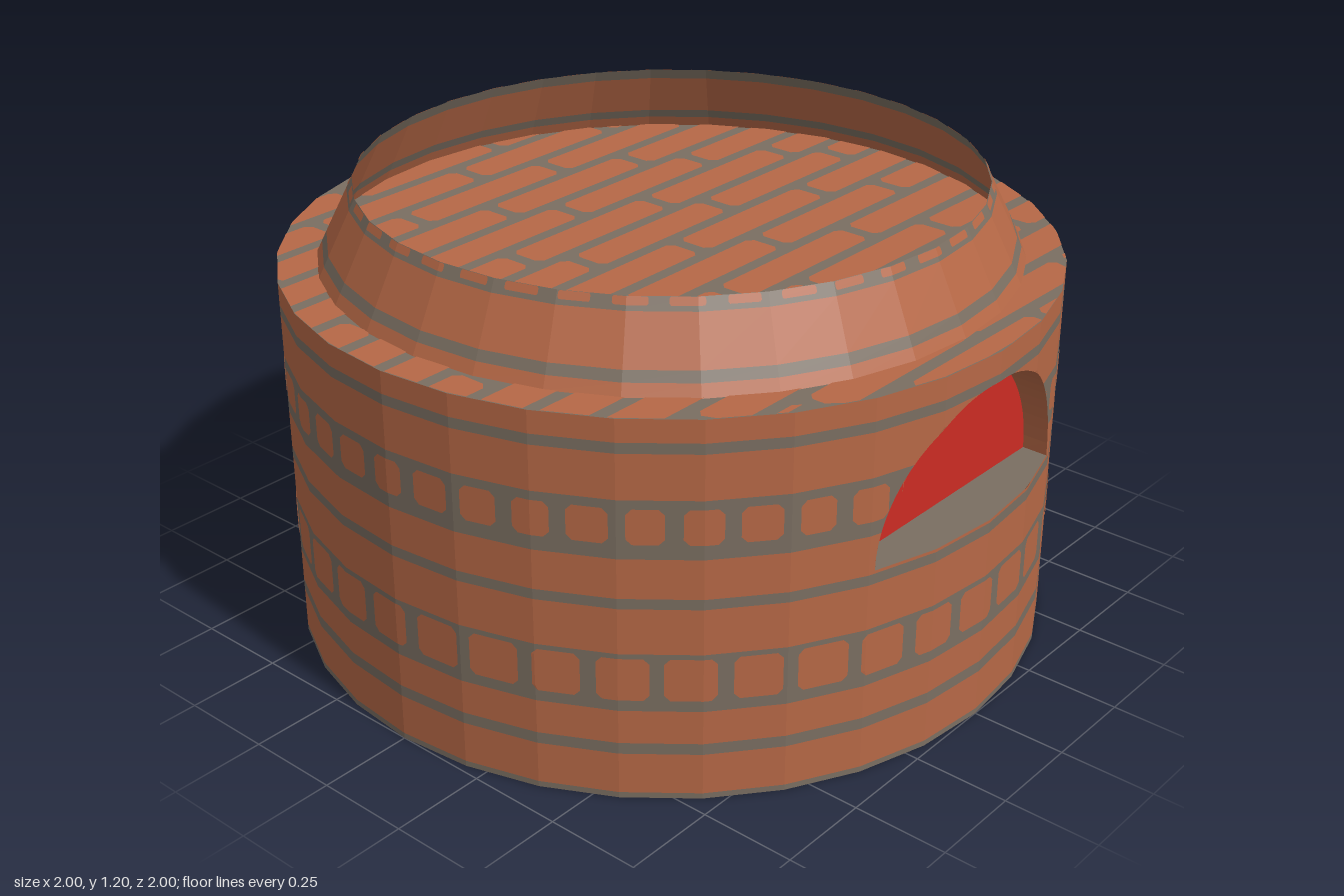
import * as THREE from 'three';

const SIDES = 32, STEP = (Math.PI * 2) / SIDES, TAU = Math.PI * 2;
const ARCH_Y = 0.555, ARCH_R = 0.367, RECESS_Z = 0.86;

const material = (name, color, side = THREE.DoubleSide) => {
  const m = new THREE.MeshStandardMaterial({ color, side });
  m.name = name;
  return m;
};

// Point on a 32-sided prism at an angle measured from the front
function onWall(a, r, y) {
  const i = Math.floor(a / STEP + 1e-9), t = a / STEP - i;
  const a0 = i * STEP, a1 = a0 + STEP;
  const mix = (f) => r * (f(a0) * (1 - t) + f(a1) * t);
  return [mix(Math.sin), y, mix(Math.cos)];
}

// Half angle of the arched opening at a height
function archAngle(y) {
  const h = (y - ARCH_Y) / ARCH_R;
  return Math.asin(ARCH_R * Math.sqrt(Math.max(0, 1 - h * h)));
}
const archLevels = Array.from({ length: 19 }, (_, j) => ARCH_Y + ARCH_R * Math.sin((j / 18) * Math.PI / 2));

const quad = (out, a, b, c, d) => out.push(...a, ...b, ...c, ...a, ...c, ...d);

// Faceted sheet around the axis; range(y) gives its start and end angle
function addSheet(out, y0, y1, radius, range, extra = []) {
  const levels = [y0, ...[...archLevels, ...extra].filter((y) => y > y0 + 1e-6 && y < y1 - 1e-6), y1].sort((a, b) => a - b);
  for (let k = 0; k < levels.length - 1; k++) {
    const ya = levels[k], yb = levels[k + 1], mid = (ya + yb) / 2;
    const cut = mid > ARCH_Y && mid < ARCH_Y + ARCH_R;
    const angle = (i, y) => {
      let [lo, hi] = range(y);
      if (cut) {
        lo = Math.max(lo, archAngle(y));
        hi = Math.min(hi, TAU - archAngle(y));
      }
      return lo >= hi ? lo : Math.min(hi, Math.max(lo, i * STEP));
    };
    for (let i = 0; i < SIDES + 2; i++) {
      const p = [angle(i, ya), angle(i + 1, ya), angle(i + 1, yb), angle(i, yb)];
      if (p[1] - p[0] < 1e-6 && p[2] - p[3] < 1e-6) continue;
      quad(out, onWall(p[0], radius(ya), ya), onWall(p[1], radius(ya), ya),
        onWall(p[2], radius(yb), yb), onWall(p[3], radius(yb), yb));
    }
  }
}

function mesh(name, positions, mat) {
  const g = new THREE.BufferGeometry();
  g.setAttribute('position', new THREE.Float32BufferAttribute(positions, 3));
  g.computeVertexNormals();
  const m = new THREE.Mesh(g, mat);
  m.name = name;
  return m;
}

// Horizontal courses: each entry is a colour and its top height
function addCourses(group, name, start, courses, radius, mats) {
  const out = { brick: [], mortar: [] };
  let y = start;
  for (const [kind, top] of courses) {
    addSheet(out[kind], y, top, radius, () => [0, TAU]);
    y = top;
  }
  for (const kind in out) group.add(mesh(name + kind, out[kind], mats[kind]));
}

// Row of short bricks with clipped corners
function headerRow(name, y0, y1, count, fill, offset, radius, mat) {
  const out = [], pitch = TAU / count, d = 0.014;
  for (let k = 0; k < count; k++) {
    const c = offset + (k + 0.5) * pitch;
    const half = pitch * (fill + 0.04 * Math.sin(k * 2.3)) / 2;
    const range = (y) => {
      const inset = Math.max(0, d - Math.min(y - y0, y1 - y));
      return [c - half + inset, c + half - inset];
    };
    addSheet(out, y0, y1, radius, range, [y0 + d, y1 - d]);
  }
  return mesh(name, out, mat);
}

// Half width of the 32-sided disc at depth z
function discHalfWidth(z) {
  const a = Math.asin(Math.min(1, Math.abs(z))), i = Math.floor(a / STEP);
  const s0 = Math.sin(i * STEP), s1 = Math.sin((i + 1) * STEP);
  const t = (Math.abs(z) - s0) / (s1 - s0);
  return Math.cos(i * STEP) * (1 - t) + Math.cos((i + 1) * STEP) * t;
}

// Running-bond bricks clipped to the disc
function discBricks() {
  const joints = [0.2, 0, 0.19, -0.14, -0.02, 0.18, -0.25, 0, 0.16, -0.16, 0.01, 0.16, -0.2, 0.02, 0.22];
  const shapes = [], length = 0.52, gap = 0.018, d = 0.016;
  joints.forEach((joint, row) => {
    const zc = 0.06 + 0.1325 * (row - 7);
    const z0 = Math.max(-0.995, zc - 0.049), z1 = Math.min(0.995, zc + 0.049);
    if (z1 - z0 < 0.01) return;
    const zs = [z0, z0 + d, (z0 + z1) / 2, z1 - d, z1].sort((a, b) => a - b);
    for (let n = -3; n < 3; n++) {
      const x0 = joint + n * length + gap, x1 = x0 + length - 2 * gap;
      const left = [], right = [];
      for (const z of zs) {
        const w = discHalfWidth(z), inset = z === z0 || z === z1 ? d : 0;
        const l = Math.max(x0 + inset, -w), r = Math.min(x1 - inset, w);
        if (r - l < 0.002) continue;
        left.push(new THREE.Vector2(l, -z));
        right.push(new THREE.Vector2(r, -z));
      }
      if (left.length > 1) shapes.push(new THREE.Shape([...left, ...right.reverse()]));
    }
  });
  return new THREE.ShapeGeometry(shapes);
}

export function createModel() {
  const model = new THREE.Group();
  model.name = 'brickOven';
  const mats = { brick: material('brick', 0xb66846), mortar: material('mortar', 0x7a6e61) };
  const red = material('red', 0xcc2b23);

  // Round wall with the arched opening left out
  const wall = new THREE.Group();
  wall.name = 'wall';
  const wallRadius = () => 1;
  addCourses(wall, 'wall_', 0, [
    ['mortar', 0.015], ['brick', 0.125], ['mortar', 0.155], ['brick', 0.245], ['mortar', 0.4],
    ['brick', 0.52], ['mortar', 0.547], ['brick', 0.65], ['mortar', 0.8], ['brick', 0.915],
    ['mortar', 0.942], ['brick', 1]], wallRadius, mats);
  wall.add(headerRow('lowerHeaderBricks', 0.275, 0.388, 40, 0.77, 0.05, () => 1.002, mats.brick));
  wall.add(headerRow('upperHeaderBricks', 0.688, 0.778, 48, 0.7, 0.065, () => 1.002, mats.brick));
  model.add(wall);

  // Sloping open collar
  const collar = new THREE.Group();
  collar.name = 'collar';
  const slope = (y) => 0.9 - (y - 1) * 0.5;
  addCourses(collar, 'collar_', 1, [
    ['brick', 1.03], ['mortar', 1.055], ['brick', 1.17], ['mortar', 1.2]], slope, mats);
  collar.add(headerRow('collarHeaderBricks', 1.182, 1.2, 40, 0.75, 0.05, (y) => slope(y) + 0.002, mats.brick));
  model.add(collar);

  // Brick-paved top and underside
  const bricks = discBricks();
  for (const [name, y, dir] of [['top', 1, 1], ['underside', 0.002, -1]]) {
    const disc = new THREE.Group();
    disc.name = name;
    const base = new THREE.Mesh(new THREE.CircleGeometry(1, SIDES), mats.mortar);
    base.name = name + 'Mortar';
    const paving = new THREE.Mesh(bricks, mats.brick);
    paving.name = name + 'Bricks';
    paving.position.z = 0.002;
    disc.add(base, paving);
    disc.rotation.x = -dir * Math.PI / 2;
    disc.position.y = y;
    model.add(disc);
  }

  // Recess: arched reveal, sill and red back panel
  const reveal = [], sill = [];
  const addReveal = (out, pts) => {
    for (let i = 0; i < pts.length - 1; i++) {
      const [a, b] = [pts[i], pts[i + 1]];
      const front = ([x, y]) => {
        const p = onWall(Math.asin(Math.abs(x)), 1, y);
        return [Math.sign(x) * p[0], y, p[2]];
      };
      quad(out, [...a, RECESS_Z], [...b, RECESS_Z], front(b), front(a));
    }
  };
  const arc = Array.from({ length: 33 }, (_, i) => {
    const t = (i / 32) * Math.PI;
    return [ARCH_R * Math.cos(t), ARCH_Y + ARCH_R * Math.sin(t)];
  });
  addReveal(reveal, arc);
  addReveal(sill, Array.from({ length: 17 }, (_, i) => [ARCH_R * (i / 8 - 1), ARCH_Y]));
  const panel = new THREE.Mesh(new THREE.CircleGeometry(ARCH_R, 32, 0, Math.PI), red);
  panel.name = 'redBackPanel';
  panel.position.set(0, ARCH_Y, RECESS_Z);
  model.add(mesh('archReveal', reveal, mats.brick), mesh('sill', sill, mats.mortar), panel);

  return model;
}
